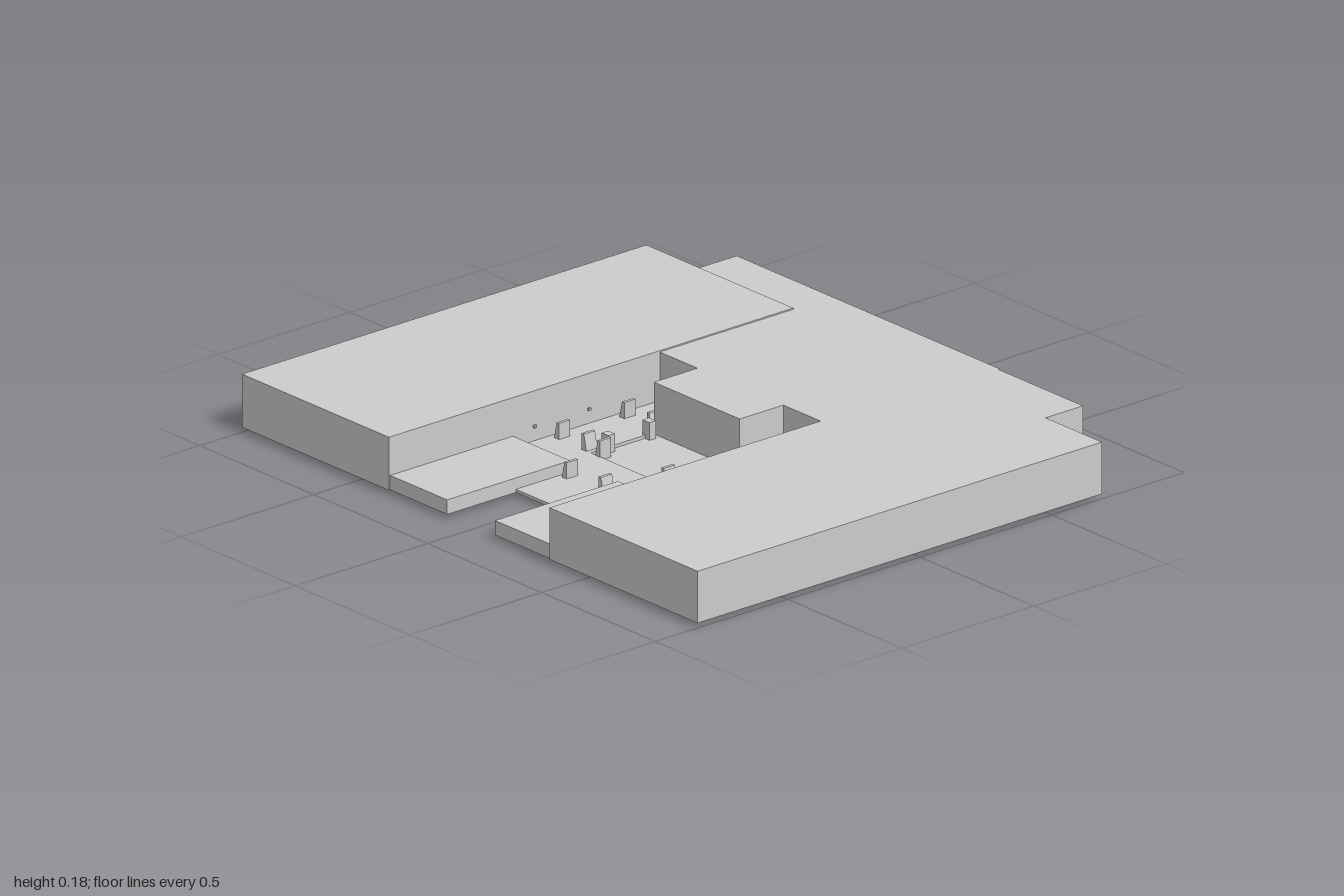
import * as THREE from 'three';

const mat = new THREE.MeshStandardMaterial({ color: 0xcccccc, flatShading: true });
const BASE = 0.015;

export function createModel() {
  const model = new THREE.Group();

  const add = (name, geometry, parent = model) => {
    const mesh = new THREE.Mesh(geometry, mat);
    mesh.name = name;
    parent.add(mesh);
    return mesh;
  };

  // Slab from a plan outline of [x, z] points, between heights y0 and y1
  const slab = (name, points, y0, y1, hole) => {
    const toVec = ([x, z]) => new THREE.Vector2(x, -z);
    const shape = new THREE.Shape(points.map(toVec));
    if (hole) shape.holes.push(new THREE.Path(hole.map(toVec)));
    const g = new THREE.ExtrudeGeometry(shape, { depth: y1 - y0, bevelEnabled: false });
    g.rotateX(-Math.PI / 2).translate(0, y0, 0);
    return add(name, g);
  };
  const rect = (x0, x1, z0, z1) => [[x0, z0], [x0, z1], [x1, z1], [x1, z0]];

  // Thick surrounding body: front wing, spine with inner tongue, slightly raised back wing
  slab('body', [
    [-0.84, 1], [0.69, 1], [0.69, 0.752], [0.832, 0.752], [0.832, 0.38], [0.838, 0.38],
    [0.838, -0.775], [0.69, -0.775], [0.69, -0.355], [0.185, -0.355],
    [0.185, -0.19], [0.02, -0.19], [0.02, 0.187], [0.185, 0.187], [0.185, 0.35], [-0.84, 0.35],
  ], BASE, 0.175);
  slab('backWing', rect(-0.84, 0.69, -1, -0.355), BASE, 0.179);

  // Thin sunken floor, open over the underside plate
  slab('recessFloor', [
    [-0.575, 0.105], [-0.37, 0.105], [-0.37, 0.35], [0.185, 0.35],
    [0.185, -0.355], [-0.37, -0.355], [-0.37, -0.105], [-0.575, -0.105],
  ], BASE, 0.025, rect(-0.228, 0.02, -0.18, 0.178));

  // Low shelves either side of the entrance
  slab('backShelf', rect(-0.835, -0.37, -0.355, -0.105), BASE, 0.06);
  slab('frontShelf', rect(-0.835, -0.37, 0.105, 0.35), BASE, 0.06);

  // Plate that stands proud of the underside, with stepped long edges
  slab('undersidePlate', [
    [-0.23, 0.2], [-0.155, 0.2], [-0.155, 0.178], [-0.02, 0.178], [-0.02, 0.2], [0.2, 0.2],
    [0.2, -0.205], [-0.02, -0.205], [-0.02, -0.18], [-0.155, -0.18], [-0.155, -0.205], [-0.23, -0.205],
  ], 0, BASE);

  // Wedge clips: upright on one side, sloping on the side facing dir
  const clips = new THREE.Group();
  clips.name = 'clips';
  model.add(clips);
  const clip = (x, z, dir) => {
    const g = new THREE.BoxGeometry(0.042, 0.07, 0.026);
    const p = g.attributes.position;
    for (let i = 0; i < p.count; i++) {
      if (p.getY(i) > 0 && p.getZ(i) * dir > 0) p.setZ(i, -dir * 0.003);
    }
    g.computeVertexNormals();
    g.translate(x, 0.04, z);
    add('clip', g, clips);
  };
  for (const s of [-1, 1]) {
    clip(-0.392, s * 0.083, s);
    clip(-0.21, s * 0.148, s);
    for (const x of [-0.21, 0.037]) {
      clip(x, s * 0.203, -s);
      clip(x, s * 0.328, s);
    }
    // Upright tabs at the plate corners
    for (const x of [-0.165, -0.01]) {
      add('plateTab', new THREE.BoxGeometry(0.024, 0.06, 0.03).translate(x, 0.04, s * 0.175));
    }
    // Tiny studs on the recess walls
    for (const x of [-0.29, -0.085]) {
      add('wallStud', new THREE.BoxGeometry(0.008, 0.008, 0.01).translate(x, 0.07, s * 0.35 - 0.002));
    }
  }

  return model;
}
